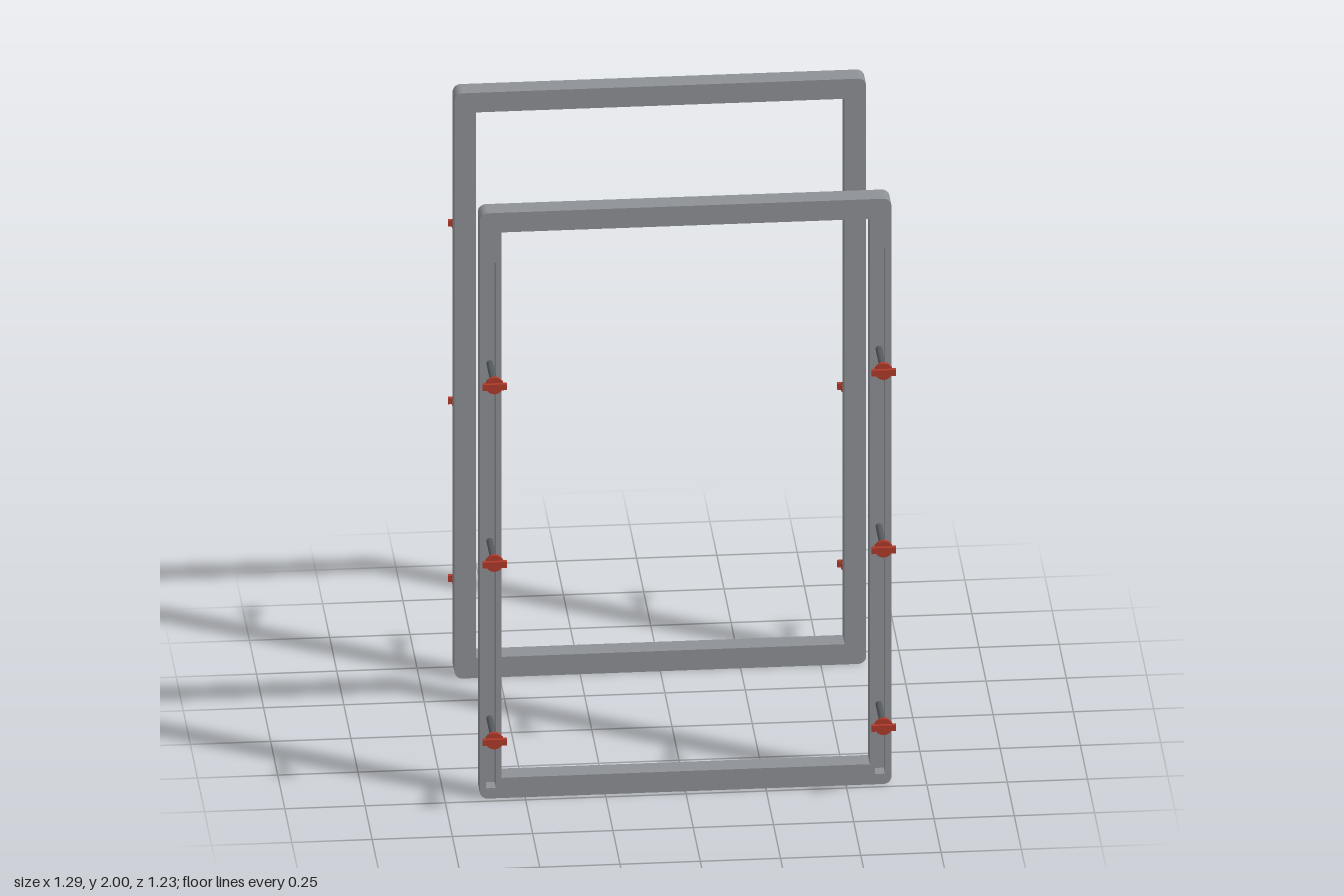
import * as THREE from 'three';

const steel = new THREE.MeshStandardMaterial({ color: 0x8d9094 });
steel.name = 'grey steel';
const darkSteel = new THREE.MeshStandardMaterial({ color: 0x54595d });
darkSteel.name = 'dark steel';
const red = new THREE.MeshStandardMaterial({ color: 0xb03a2a });
red.name = 'red';

const W = 0.641, H = 2, BAR = 0.067, R = 0.025;
const BACK = 0.411, FLOOR = 0.435, FACE = 0.48;
const SLOT_X = 0.606;

function rectPath(x0, y0, x1, y1) {
  return new THREE.Path([[x0, y0], [x0, y1], [x1, y1], [x1, y0]].map(p => new THREE.Vector2(...p)));
}

// Rectangular frame outline: rounded outside, square opening
function frameShape() {
  const s = new THREE.Shape();
  s.moveTo(-W + R, 0);
  s.lineTo(W - R, 0);
  s.absarc(W - R, R, R, -Math.PI / 2, 0);
  s.lineTo(W, H - R);
  s.absarc(W - R, H - R, R, 0, Math.PI / 2);
  s.lineTo(-W + R, H);
  s.absarc(-W + R, H - R, R, Math.PI / 2, Math.PI);
  s.lineTo(-W, R);
  s.absarc(-W + R, R, R, Math.PI, Math.PI * 1.5);
  s.holes.push(rectPath(-W + BAR, 0.069, W - BAR, H - BAR));
  return s;
}

function add(group, name, geometry, material, x = 0, y = 0, z = 0) {
  const m = new THREE.Mesh(geometry, material);
  m.name = name;
  m.position.set(x, y, z);
  group.add(m);
  return m;
}

// Cylinder along z between two depths
function zCylinder(radius, z0, z1, sides) {
  return new THREE.CylinderGeometry(radius, radius, z1 - z0, sides)
    .rotateX(Math.PI / 2).translate(0, 0, (z0 + z1) / 2);
}

function zBox(w, h, z0, z1) {
  return new THREE.BoxGeometry(w, h, z1 - z0).translate(0, 0, (z0 + z1) / 2);
}

// Threaded rod with a winged clamp knob
function createClamp(x, y) {
  const g = new THREE.Group();
  g.name = 'clamp';
  g.position.set(x, y, 0);
  add(g, 'rod', zCylinder(0.0105, FLOOR, 0.595, 16), darkSteel);
  add(g, 'knobDisc', zCylinder(0.028, 0.594, 0.606, 16), red);
  add(g, 'knobHub', zBox(0.054, 0.02, 0.589, 0.604), red);
  add(g, 'knobWing', zBox(0.076, 0.02, 0.603, 0.617), red);
  return g;
}

// One frame with its grooves and six clamps, facing +z
function createPanel(name) {
  const g = new THREE.Group();
  g.name = name;
  const extrude = (shape, depth) =>
    new THREE.ExtrudeGeometry(shape, { depth, bevelEnabled: false, curveSegments: 6 });
  add(g, 'frameBack', extrude(frameShape(), FLOOR - BACK), steel, 0, 0, BACK);
  const grooved = frameShape();
  for (const s of [-1, 1]) {
    grooved.holes.push(rectPath(s * SLOT_X - 0.0155, 0.035, s * SLOT_X + 0.0155, 1.83));
  }
  add(g, 'groovedFrameFace', extrude(grooved, FACE - FLOOR), steel, 0, 0, FLOOR);
  for (const s of [-1, 1]) {
    for (const y of [0.253, 0.86, 1.467]) g.add(createClamp(s * SLOT_X, y));
  }
  return g;
}

export function createModel() {
  const model = new THREE.Group();
  model.name = 'pairOfClampFrames';
  model.add(createPanel('frontFrame'));
  const back = createPanel('backFrame');
  back.rotation.y = Math.PI;
  model.add(back);
  return model;
}
